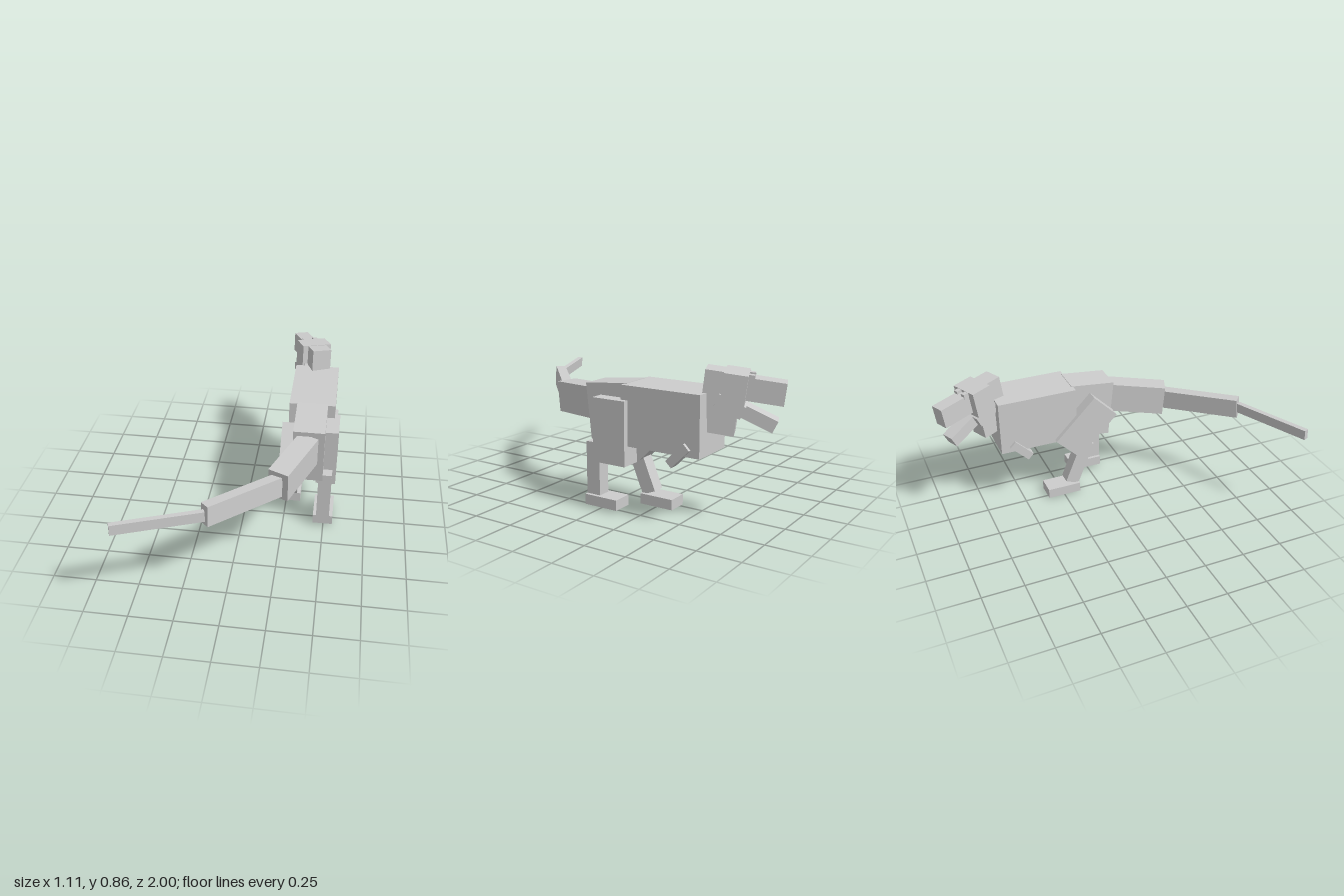
import * as THREE from 'three';

export function createModel() {
  const model = new THREE.Group();
  model.name = 'blockyDinosaur';
  const grey = new THREE.MeshStandardMaterial({ color: 0xcccccc });
  grey.name = 'plainGrey';
  const rad = THREE.MathUtils.degToRad;

  // One box: size, centre, and pitch / yaw in degrees
  function box(name, size, pos, pitch = 0, yaw = 0, parent = model) {
    const mesh = new THREE.Mesh(new THREE.BoxGeometry(...size), grey);
    mesh.name = name;
    mesh.position.set(...pos);
    mesh.rotation.set(rad(pitch), rad(yaw), 0);
    parent.add(mesh);
    return mesh;
  }

  // Torso
  box('chest', [0.274, 0.337, 0.488], [0.386, 0.558, -0.386]);
  box('hips', [0.183, 0.36, 0.28], [0.387, 0.536, -0.032], 6);

  // Tail, curving to one side
  box('tailBase', [0.122, 0.182, 0.367], [0.316, 0.567, 0.28], 5, -22.5);
  box('tailMiddle', [0.06, 0.122, 0.495], [0.075, 0.567, 0.618], -5, -45);
  box('tailTip', [0.03, 0.06, 0.49], [-0.326, 0.586, 0.89], -3, -67.5);

  // Standing leg
  box('thighStanding', [0.119, 0.365, 0.21], [0.496, 0.462, -0.08]);
  box('shinStanding', [0.079, 0.31, 0.088], [0.494, 0.228, 0.044]);
  box('footStanding', [0.12, 0.06, 0.212], [0.495, 0.048, -0.02]);

  // Stepping leg
  box('thighStepping', [0.119, 0.36, 0.21], [0.28, 0.46, -0.086], 45);
  box('shinStepping', [0.079, 0.295, 0.088], [0.28, 0.203, -0.131], 22.5);
  box('footStepping', [0.12, 0.061, 0.212], [0.28, 0.031, -0.248]);

  // Small arms
  for (const side of [-1, 1]) {
    box('arm', [0.055, 0.153, 0.049], [0.386 + side * 0.127, 0.392, -0.507], -45);
  }

  // Neck and head turned together; local -z points along the snout
  const head = new THREE.Group();
  head.name = 'headAndNeck';
  head.position.set(0.411, 0.853, -0.603);
  head.rotation.set(rad(-7.5), rad(22.5), 0);
  model.add(head);
  box('neck', [0.12, 0.33, 0.19], [0, -0.165, -0.095], 0, 0, head);
  box('skull', [0.186, 0.159, 0.124], [0, -0.0765, -0.159], 0, 0, head);
  box('snout', [0.09, 0.12, 0.2], [0, -0.075, -0.316], 0, 0, head);
  for (const side of [-1, 1]) {
    box('brow', [0.03, 0.03, 0.035], [side * 0.033, -0.013, -0.235], 0, 0, head);
  }

  // Open lower jaw, wide at the hinge
  const jaw = new THREE.Group();
  jaw.name = 'lowerJaw';
  jaw.position.set(0, -0.147, -0.078);
  jaw.rotation.x = rad(-18.5);
  head.add(jaw);
  box('jawHinge', [0.165, 0.07, 0.15], [0, 0, -0.075], 0, 0, jaw);
  box('jawFront', [0.085, 0.07, 0.19], [0, 0, -0.235], 0, 0, jaw);

  return model;
}
